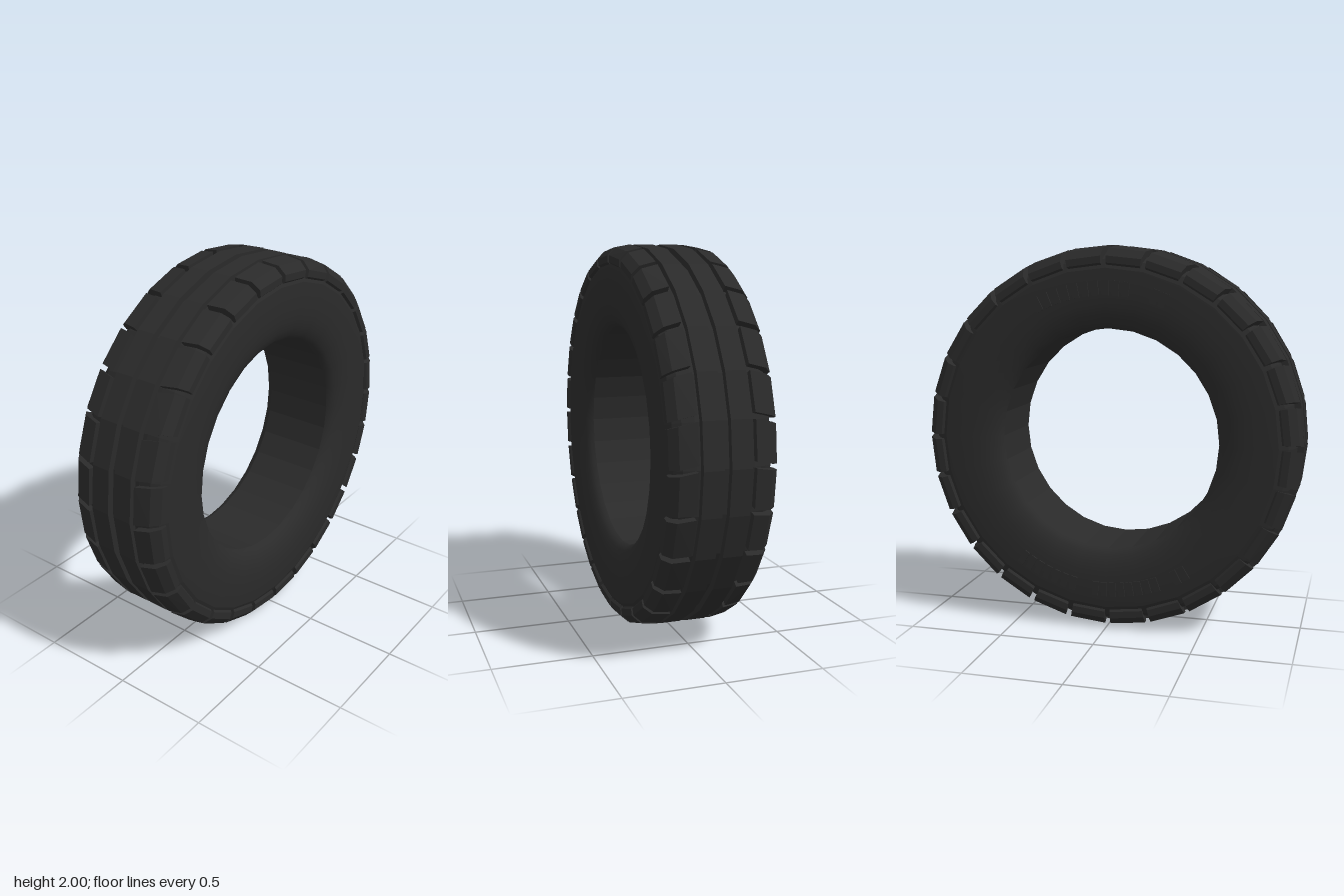
import * as THREE from 'three';
import { ConvexGeometry } from 'three/addons/geometries/ConvexGeometry.js';

const SIDES = 28;
const PITCH = (2 * Math.PI) / SIDES;

// Revolves [radius, z] pairs around the z axis, with flat or smooth facets.
function ring(profile, flat) {
  const points = profile.map(([r, z]) => new THREE.Vector2(r, z));
  let geometry = new THREE.LatheGeometry(points, SIDES).rotateX(Math.PI / 2);
  if (flat) {
    geometry = geometry.toNonIndexed();
    geometry.computeVertexNormals();
  }
  return geometry;
}

// Profile on the other side of the tyre, still running the outward way.
const mirrored = (profile) => profile.map(([r, z]) => [r, -z]).reverse();

// Shoulder block: a chamfered section spanning one pitch, skewed towards its outer end.
function shoulderBlock(side) {
  const section = [[0.94, 0.14], [1, 0.14], [0.985, 0.225], [0.945, 0.262], [0.91, 0.262], [0.9, 0.25]];
  const points = [];
  for (const [r, z] of section) {
    const skew = 0.014 - 0.2 * (z - 0.14);
    for (const a of [0.015, PITCH - 0.015]) {
      points.push(new THREE.Vector3(r * Math.cos(a + skew), r * Math.sin(a + skew), side * z));
    }
  }
  return new ConvexGeometry(points);
}

export function createModel() {
  const rubber = new THREE.MeshStandardMaterial({ color: 0x2a2a2a });
  rubber.name = 'dark rubber';

  const model = new THREE.Group();
  model.name = 'tyre';
  const wheel = new THREE.Group();
  wheel.name = 'tyreBody';
  wheel.position.y = 1;
  model.add(wheel);

  const add = (name, geometry, parent = wheel) => {
    const mesh = new THREE.Mesh(geometry, rubber);
    mesh.name = name;
    parent.add(mesh);
    return mesh;
  };

  // Carcass: groove floor, shoulders, bulging sidewalls and bore
  const shoulder = [[0.967, 0.14], [0.957, 0.2], [0.93, 0.236], [0.885, 0.256]];
  const sidewall = [[0.885, 0.256], [0.83, 0.261], [0.76, 0.262], [0.7, 0.258],
    [0.65, 0.248], [0.61, 0.23], [0.588, 0.21], [0.58, 0.19]];
  add('grooveFloor', ring([[0.967, -0.14], [0.967, 0.14]], true));
  add('bore', ring([[0.58, 0.19], [0.58, -0.19]], true));
  add('frontShoulder', ring(shoulder, true));
  add('backShoulder', ring(mirrored(shoulder), true));
  add('frontSidewall', ring(sidewall, false));
  add('backSidewall', ring(mirrored(sidewall), false));

  // Two continuous tread ribs either side of the centre groove
  const rib = [[0.96, 0.018], [1, 0.018], [1, 0.118], [0.96, 0.118]];
  add('frontRib', ring(rib, true));
  add('backRib', ring(mirrored(rib), true));

  // Shoulder blocks on both edges of the tread
  for (const side of [1, -1]) {
    const blocks = new THREE.Group();
    blocks.name = side > 0 ? 'frontShoulderBlocks' : 'backShoulderBlocks';
    wheel.add(blocks);
    const geometry = shoulderBlock(side);
    for (let i = 0; i < SIDES; i++) {
      add('shoulderBlock', geometry, blocks).rotation.z = i * PITCH;
    }
  }

  // Raised bars on the back sidewall: [first angle, last angle, count] in degrees
  const bars = new THREE.Group();
  bars.name = 'sidewallBars';
  wheel.add(bars);
  const barGeometry = new THREE.BoxGeometry(0.075, 0.034, 0.012);
  for (const [from, to, count] of [[63, 98, 10], [109, 112.5, 2], [-77, -55, 7], [-110, -86, 8], [-122, -118.5, 2]]) {
    for (let i = 0; i < count; i++) {
      const angle = THREE.MathUtils.degToRad(from + ((to - from) * i) / (count - 1));
      const bar = add('sidewallBar', barGeometry, bars);
      bar.position.set(0.785 * Math.cos(angle), 0.785 * Math.sin(angle), -0.263);
      bar.rotation.z = angle;
    }
  }

  return model;
}
